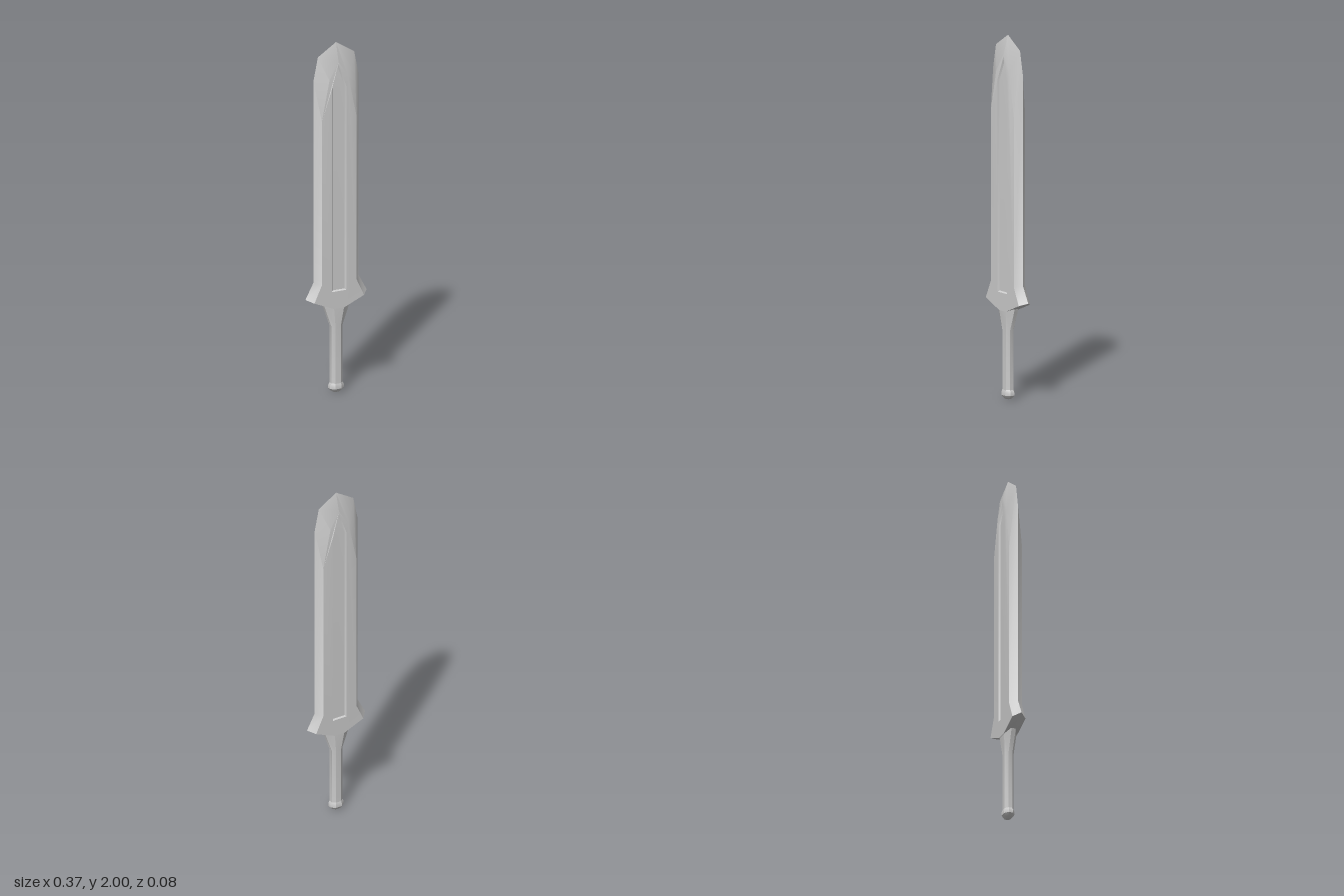
import * as THREE from 'three';
import { toCreasedNormals } from 'three/addons/utils/BufferGeometryUtils.js';

const THICK = 0.038;
// Height of the flat of the blade, thinning slightly towards the tip
const flatZ = (y) => THICK - Math.max(0, y - 1.76) * 0.06;

// Close a right-hand profile (top to bottom) into a clockwise loop
function mirrorLoop(half) {
  const left = half.filter(([x]) => x > 0).reverse().map(([x, y]) => [-x, y]);
  return [...half, ...left];
}

const raise = (loop, zOf) => loop.map(([x, y]) => [x, y, zOf(y)]);

// Quads between two matching closed rings
function band(out, a, b) {
  a.forEach((p, i) => {
    const j = (i + 1) % a.length;
    out.push(...p, ...b[i], ...b[j], ...p, ...b[j], ...a[j]);
  });
}

// Fill a loop, optionally with a hole, at a height given by zOf
function fill(out, loop, hole, zOf) {
  const vec = (l) => l.map(([x, y]) => new THREE.Vector2(x, y)).reverse();
  const contour = vec(loop);
  const holes = hole ? [vec(hole).reverse()] : [];
  const all = [...contour, ...holes.flat()];
  for (const tri of THREE.ShapeUtils.triangulateShape(contour, holes)) {
    const [a, b, c] = tri.map((i) => all[i]);
    const ccw = (b.x - a.x) * (c.y - a.y) - (b.y - a.y) * (c.x - a.x) > 0;
    for (const p of ccw ? [a, b, c] : [a, c, b]) out.push(p.x, p.y, zOf(p.y));
  }
}

function toGeometry(positions) {
  const g = new THREE.BufferGeometry();
  g.setAttribute('position', new THREE.Float32BufferAttribute(positions, 3));
  return toCreasedNormals(g, 0.5);
}

// One face of the blade: edge bevel, flat, and recessed groove
function bladeSide() {
  const edge = mirrorLoop([[0, 2], [0.11, 1.93], [0.136, 1.8], [0.136, 0.645], [0.185, 0.553], [0.03, 0.487]]);
  const flat = mirrorLoop([[0, 1.895], [0.058, 1.8], [0.105, 1.57], [0.105, 0.635], [0.15, 0.538], [0.03, 0.487]]);
  const rim = mirrorLoop([[0, 1.88], [0.043, 1.752], [0.043, 0.586]]);
  const floor = mirrorLoop([[0, 1.862], [0.037, 1.75], [0.037, 0.592]]);
  const floorZ = (y) => flatZ(y) - 0.01;
  const out = [];
  band(out, raise(edge, () => 0), raise(flat, flatZ));
  fill(out, flat, rim, flatZ);
  band(out, raise(rim, flatZ), raise(floor, floorZ));
  fill(out, floor, null, floorZ);
  return toGeometry(out);
}

// Octagonal ring: half width, half depth, and the half sizes of the flats
function octagon([y, hx, hz, cx, cz]) {
  return [[hx, cz], [cx, hz], [-cx, hz], [-hx, cz], [-hx, -cz], [-cx, -hz], [cx, -hz], [hx, -cz]]
    .map(([x, z]) => [x, y, z]);
}

// Stack of octagons, listed from top to bottom, closed at the foot
function loft(rows) {
  const out = [];
  const rings = rows.map(octagon);
  for (let i = 0; i + 1 < rings.length; i++) band(out, rings[i + 1], rings[i]);
  const last = rings[rings.length - 1];
  band(out, last.map(() => [0, last[0][1], 0]), last);
  return toGeometry(out);
}

export function createModel() {
  const group = new THREE.Group();
  const material = new THREE.MeshStandardMaterial({ color: 0xcccccc, side: THREE.DoubleSide });
  const add = (name, geometry) => {
    const mesh = new THREE.Mesh(geometry, material);
    mesh.name = name;
    group.add(mesh);
    return mesh;
  };

  // Blade with its flared shoulders
  const side = bladeSide();
  add('bladeFront', side);
  add('bladeBack', side).rotation.y = Math.PI;

  // Flared collar running into the grip
  add('grip', loft([
    [0.505, 0.077, 0.036, 0.033, 0.012],
    [0.487, 0.072, 0.036, 0.03, 0.012],
    [0.38, 0.034, 0.026, 0.016, 0.011],
    [0.045, 0.034, 0.026, 0.016, 0.011],
  ]));

  // Rounded end knob
  add('pommel', loft([
    [0.055, 0.033, 0.025, 0.016, 0.011],
    [0.04, 0.041, 0.03, 0.018, 0.012],
    [0.022, 0.041, 0.03, 0.018, 0.012],
    [0.007, 0.028, 0.021, 0.013, 0.009],
    [0, 0.016, 0.012, 0.008, 0.005],
  ]));
  return group;
}
